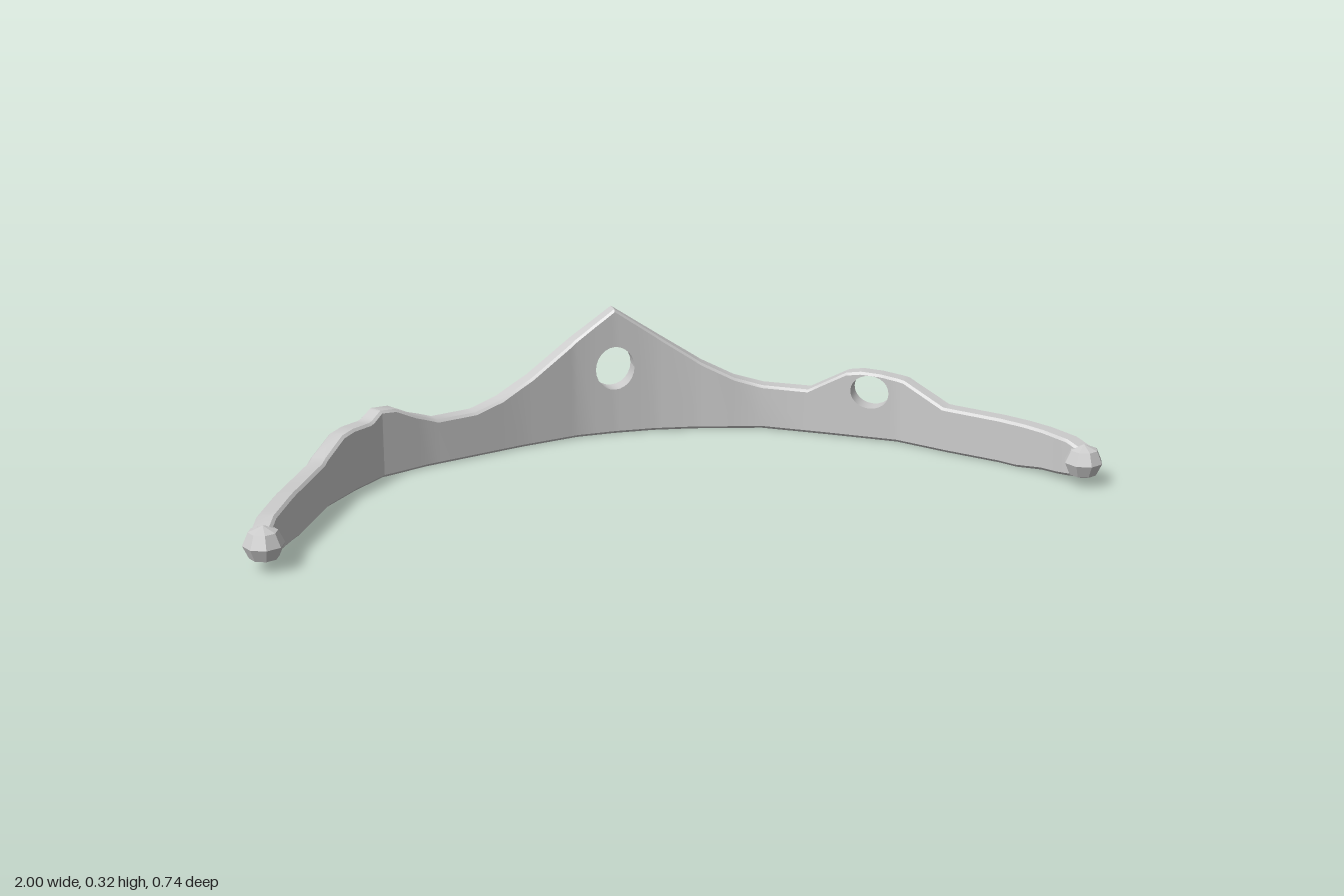
import * as THREE from 'three';
import { toCreasedNormals } from 'three/addons/utils/BufferGeometryUtils.js';

// Plan of the band: [x, z]
const PLAN = [[-0.96, 0.33], [-0.94, 0.28], [-0.89, 0.18], [-0.78, -0.02], [-0.7, -0.11], [-0.62, -0.185],
  [-0.5, -0.235], [-0.4, -0.265], [-0.25, -0.31], [-0.1, -0.345], [0, -0.349], [0.1, -0.345],
  [0.2, -0.329], [0.37, -0.285], [0.5, -0.2], [0.66, -0.09], [0.75, 0.02], [0.84, 0.12],
  [0.91, 0.22], [0.94, 0.29], [0.96, 0.33]];
// Height of the upper edge: [x, y]
const TOP = [[-0.96, 0.09], [-0.94, 0.104], [-0.88, 0.11], [-0.79, 0.112], [-0.73, 0.15], [-0.7, 0.152],
  [-0.65, 0.148], [-0.62, 0.166], [-0.58, 0.162], [-0.53, 0.135], [-0.47, 0.112], [-0.37, 0.112],
  [-0.3, 0.132], [-0.22, 0.172], [-0.12, 0.238], [0, 0.32], [0.12, 0.238], [0.22, 0.172],
  [0.3, 0.132], [0.37, 0.112], [0.47, 0.112], [0.55, 0.165], [0.58, 0.171], [0.62, 0.169],
  [0.67, 0.16], [0.74, 0.112], [0.88, 0.11], [0.94, 0.104], [0.96, 0.09]];
const BOTTOM = [[-0.96, 0.022], [-0.93, 0.012], [-0.87, 0], [0.87, 0], [0.93, 0.012], [0.96, 0.022]];
const HOLES = [
  { x: -0.655, y: 0.106, rx: 0.036, ry: 0.034, closed: true },
  { x: 0, y: 0.17, rx: 0.05, ry: 0.055 },
  { x: 0.6, y: 0.122, rx: 0.04, ry: 0.042 },
];
const HALF = 0.022; // half the band thickness

// Linear lookup, continued past both ends
function at(table, x) {
  let i = 0;
  while (i < table.length - 2 && x > table[i + 1][0]) i++;
  const [a, b] = [table[i], table[i + 1]];
  return a[1] + (b[1] - a[1]) * (x - a[0]) / (b[0] - a[0]);
}
const top = x => at(TOP, x);
const bottom = x => at(BOTTOM, x);

// Point on the bent band; n is the distance outward from its middle
function bend(x, y, n) {
  const e = 0.03;
  const slope = (at(PLAN, x + e) - at(PLAN, x - e)) / (2 * e);
  const len = Math.hypot(1, slope);
  return [x + n * slope / len, y, at(PLAN, x) - n / len];
}

// Skin through chamfered cross-sections at each x
function loft(xs, lo, hi, chamferLo, chamferHi, inner = -HALF, outer = HALF) {
  const pos = [], index = [];
  for (const x of xs) {
    const l = lo(x), h = hi(x), a = chamferLo, b = chamferHi;
    const section = [[inner + a, l], [outer - a, l], [outer, l + a], [outer, h - b],
      [outer - b, h], [inner + b, h], [inner, h - b], [inner, l + a]];
    for (const [n, y] of section) pos.push(...bend(x, y, n));
  }
  for (let i = 0; i < xs.length - 1; i++) {
    for (let j = 0; j < 8; j++) {
      const a = i * 8 + j, b = i * 8 + (j + 1) % 8;
      index.push(a, b, b + 8, a, b + 8, a + 8);
    }
  }
  const g = new THREE.BufferGeometry();
  g.setAttribute('position', new THREE.Float32BufferAttribute(pos, 3));
  g.setIndex(index);
  return toCreasedNormals(g, 0.6);
}

// Stations between two x values, including every bend of the plan and edges
function stations(from, to) {
  const inside = [...PLAN, ...TOP, ...BOTTOM].map(p => p[0]).filter(x => x > from + 0.002 && x < to - 0.002);
  return [...new Set([from, ...inside, to])].sort((a, b) => a - b);
}

export function createModel() {
  const model = new THREE.Group();
  model.name = 'tiara';
  const material = new THREE.MeshStandardMaterial({ color: 0xcccccc, side: THREE.DoubleSide });
  const add = (parent, name, geometry) => {
    const mesh = new THREE.Mesh(geometry, material);
    mesh.name = name;
    parent.add(mesh);
    return mesh;
  };

  // Solid lengths of band, with a strip above and below each opening
  const band = new THREE.Group();
  band.name = 'band';
  model.add(band);
  let start = -0.96;
  for (const h of HOLES) {
    add(band, 'bandLength', loft(stations(start, h.x - h.rx), bottom, top, 0.007, 0.006));
    const xs = Array.from({ length: 13 }, (_, i) => h.x - h.rx * Math.cos(i * Math.PI / 12));
    const arc = x => h.ry * Math.sqrt(Math.max(0, 1 - ((x - h.x) / h.rx) ** 2));
    const under = x => h.y - arc(x), over = x => h.y + arc(x);
    add(band, 'stripBelowOpening', loft(xs, bottom, under, 0.007, 0));
    add(band, 'stripAboveOpening', loft(xs, over, top, 0, 0.006));
    if (h.closed) add(band, 'socketFloor', loft(xs, under, over, 0, 0, -HALF, -0.008));
    start = h.x + h.rx;
  }
  add(band, 'bandLength', loft(stations(start, 0.96), bottom, top, 0.007, 0.006));

  // Faceted knobs on the two tips
  for (const side of [-1, 1]) {
    const ball = new THREE.SphereGeometry(1, 8, 4).toNonIndexed();
    ball.computeVertexNormals();
    const knob = add(model, side > 0 ? 'leftKnob' : 'rightKnob', ball);
    knob.scale.set(0.046, 0.042, 0.046);
    knob.position.set(side * 0.954, 0.057, 0.326);
  }
  return model;
}
